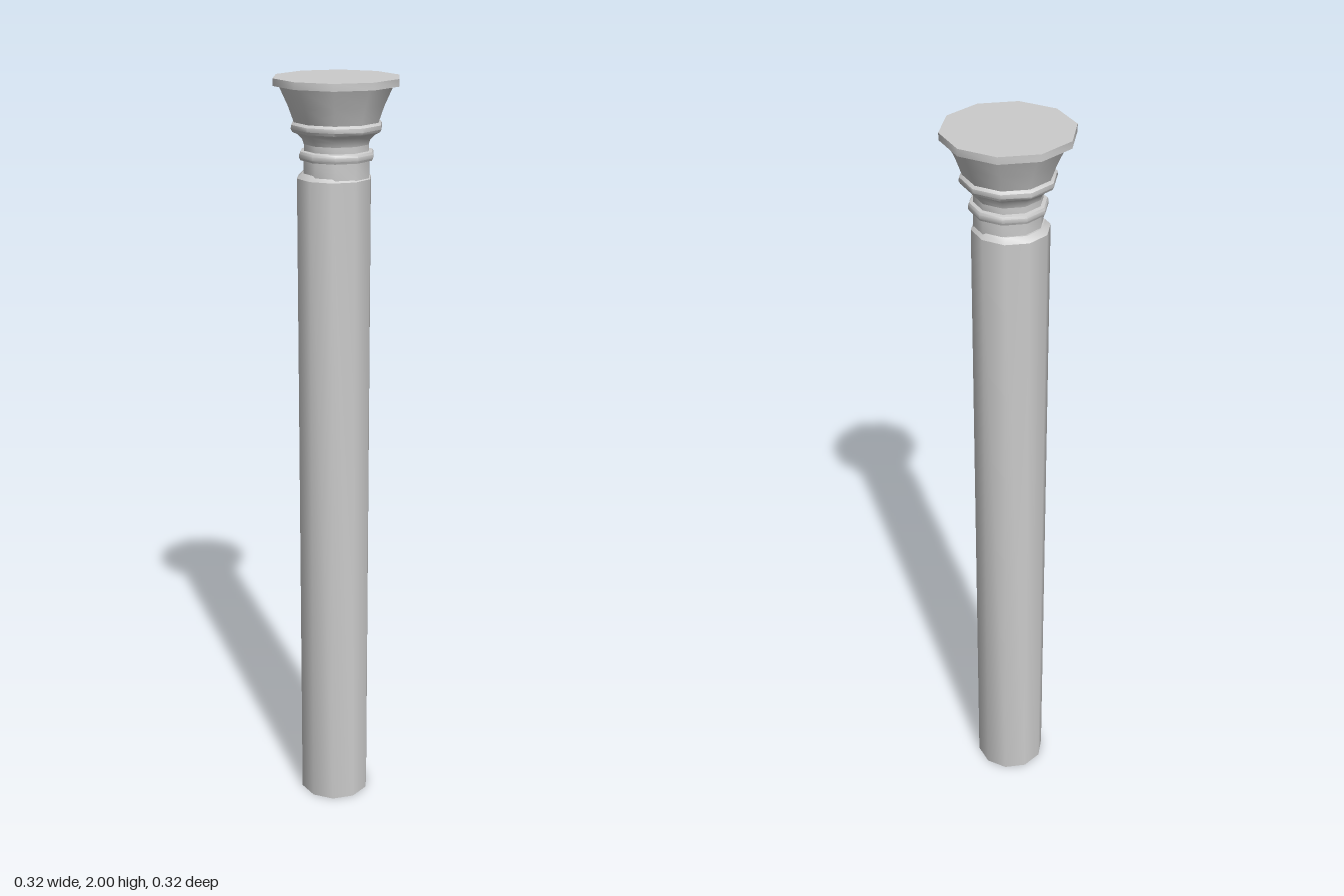
import * as THREE from 'three';
import { toCreasedNormals } from 'three/addons/utils/BufferGeometryUtils.js';

const SIDES = 10;
const TURN = -0.11; // slight twist of the ten-sided plan

export function createModel() {
  const group = new THREE.Group();
  group.name = 'column';
  const material = new THREE.MeshStandardMaterial({ color: 0xcccccc });

  // Ten-sided turned part from [radius, height] pairs, bottom to top
  const turned = (name, profile, x = 0, z = 0) => {
    const points = profile.map(([r, y]) => new THREE.Vector2(r, y));
    const lathe = new THREE.LatheGeometry(points, SIDES, TURN);
    const mesh = new THREE.Mesh(toCreasedNormals(lathe, 0.7), material);
    mesh.name = name;
    mesh.position.set(x, 0, z);
    group.add(mesh);
  };

  // Plain shaft, set slightly off the capital's axis
  turned('shaft', [[0, 0], [0.096, 0], [0.096, 1.755], [0.082, 1.768], [0, 1.768]], -0.006, -0.005);

  // Neck with its narrow ring
  turned('neck', [
    [0, 1.75], [0.085, 1.75], [0.085, 1.8], [0.093, 1.801], [0.096, 1.807],
    [0.096, 1.816], [0.093, 1.822], [0.084, 1.824], [0.084, 1.845], [0, 1.845],
  ]);

  // Flared capital with a lower lip and a flat top slab
  turned('capital', [
    [0, 1.84], [0.084, 1.84], [0.088, 1.852], [0.099, 1.864], [0.113, 1.871],
    [0.117, 1.878], [0.116, 1.888], [0.109, 1.894], [0.124, 1.935], [0.146, 1.982],
  ]);
  turned('topSlab', [[0, 1.982], [0.161, 1.982], [0.161, 2], [0, 2]]);

  return group;
}
